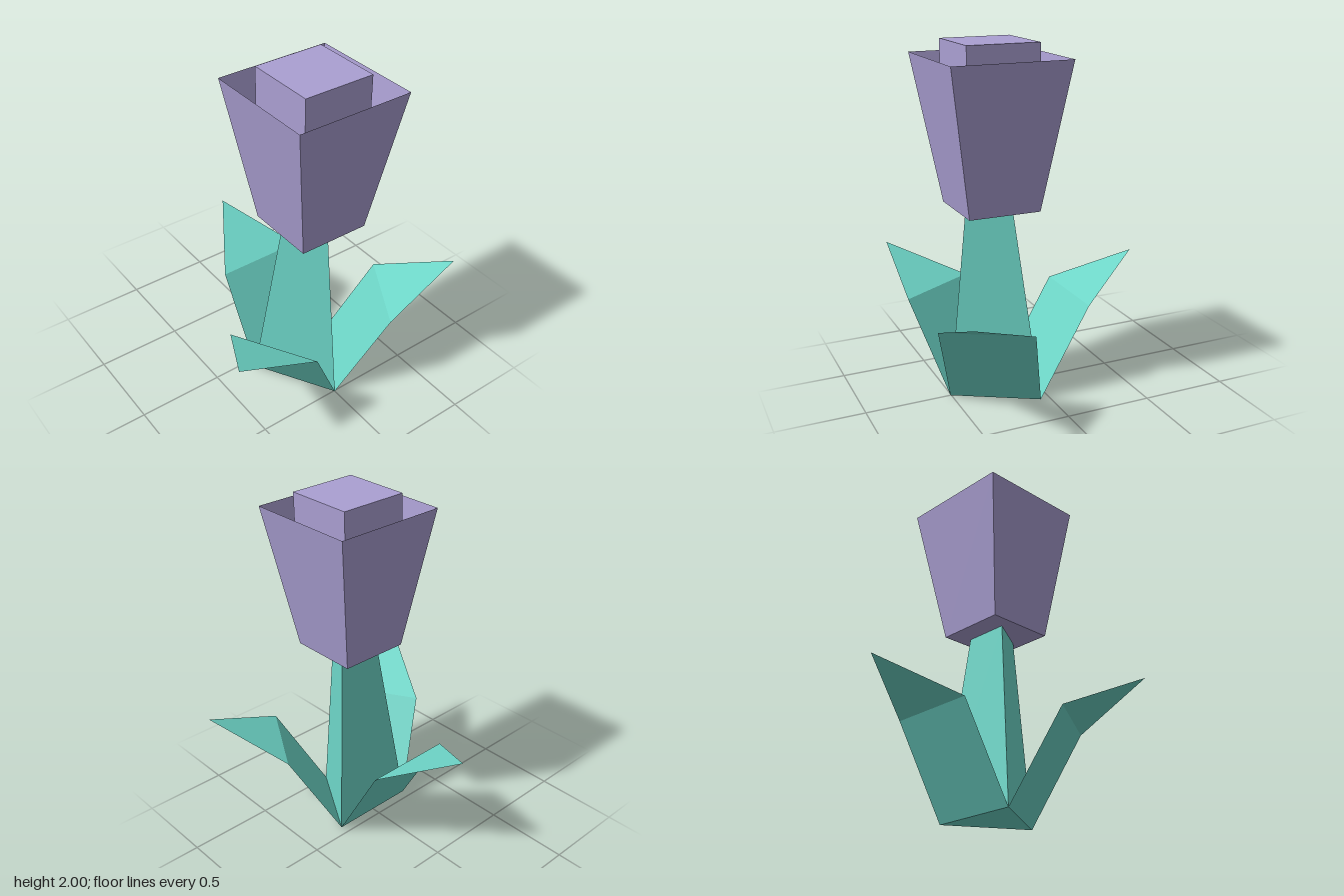
import * as THREE from 'three';

const purple = new THREE.MeshStandardMaterial({ name: 'petalPurple', color: 0xaa9fd2, side: THREE.DoubleSide });
const teal = new THREE.MeshStandardMaterial({ name: 'leafTeal', color: 0x6dd5c7, side: THREE.DoubleSide });

// Hard-edged faceted mesh
function part(name, geometry, material) {
  const flat = geometry.index ? geometry.toNonIndexed() : geometry;
  flat.computeVertexNormals();
  const mesh = new THREE.Mesh(flat, material);
  mesh.name = name;
  return mesh;
}

// Sheet leaf growing along +x: a rising rectangle, then a flatter pointed tip
function leafGeometry() {
  const w = 0.26;
  const geometry = new THREE.BufferGeometry();
  geometry.setAttribute('position', new THREE.Float32BufferAttribute([
    0.15, 0, w, 0.15, 0, -w,
    0.45, 0.52, w, 0.45, 0.52, -w,
    0.86, 0.72, 0,
  ], 3));
  geometry.setIndex([0, 2, 3, 0, 3, 1, 2, 4, 3]);
  return geometry;
}

export function createModel() {
  const flower = new THREE.Group();
  flower.name = 'flower';
  const stemX = 0.205, bloomX = 0.24;
  const bloomBase = 1.095, bloomRim = 1.92, bloomTop = 2;

  // Three-sided tapering stem, leaning slightly towards +x
  const stem = new THREE.CylinderGeometry(0.15, 0.3, bloomBase, 3, 1, false, Math.PI / 2);
  stem.translate(stemX, bloomBase / 2, 0);
  const p = stem.attributes.position;
  for (let i = 0; i < p.count; i++) {
    p.setX(i, p.getX(i) + (bloomX - stemX) * p.getY(i) / bloomBase);
  }
  flower.add(part('stem', stem, teal));

  // One leaf along each side of the stem's foot
  [Math.PI, Math.PI / 3, -Math.PI / 3].forEach((angle, i) => {
    const leaf = part('leaf' + (i + 1), leafGeometry(), teal);
    leaf.position.x = stemX;
    leaf.rotation.y = angle;
    flower.add(leaf);
  });

  // Open flaring outer petals
  const height = bloomRim - bloomBase;
  const petals = new THREE.CylinderGeometry(0.336 * Math.SQRT2, 0.205 * Math.SQRT2, height, 4, 1, true, Math.PI / 4);
  petals.translate(bloomX, bloomBase + height / 2, 0);
  flower.add(part('outerPetals', petals, purple));

  // Square inner bud, whose underside closes the bloom
  const bud = new THREE.BoxGeometry(0.408, bloomTop - bloomBase, 0.408);
  bud.translate(bloomX, (bloomTop + bloomBase) / 2, 0);
  flower.add(part('innerBud', bud, purple));

  return flower;
}
